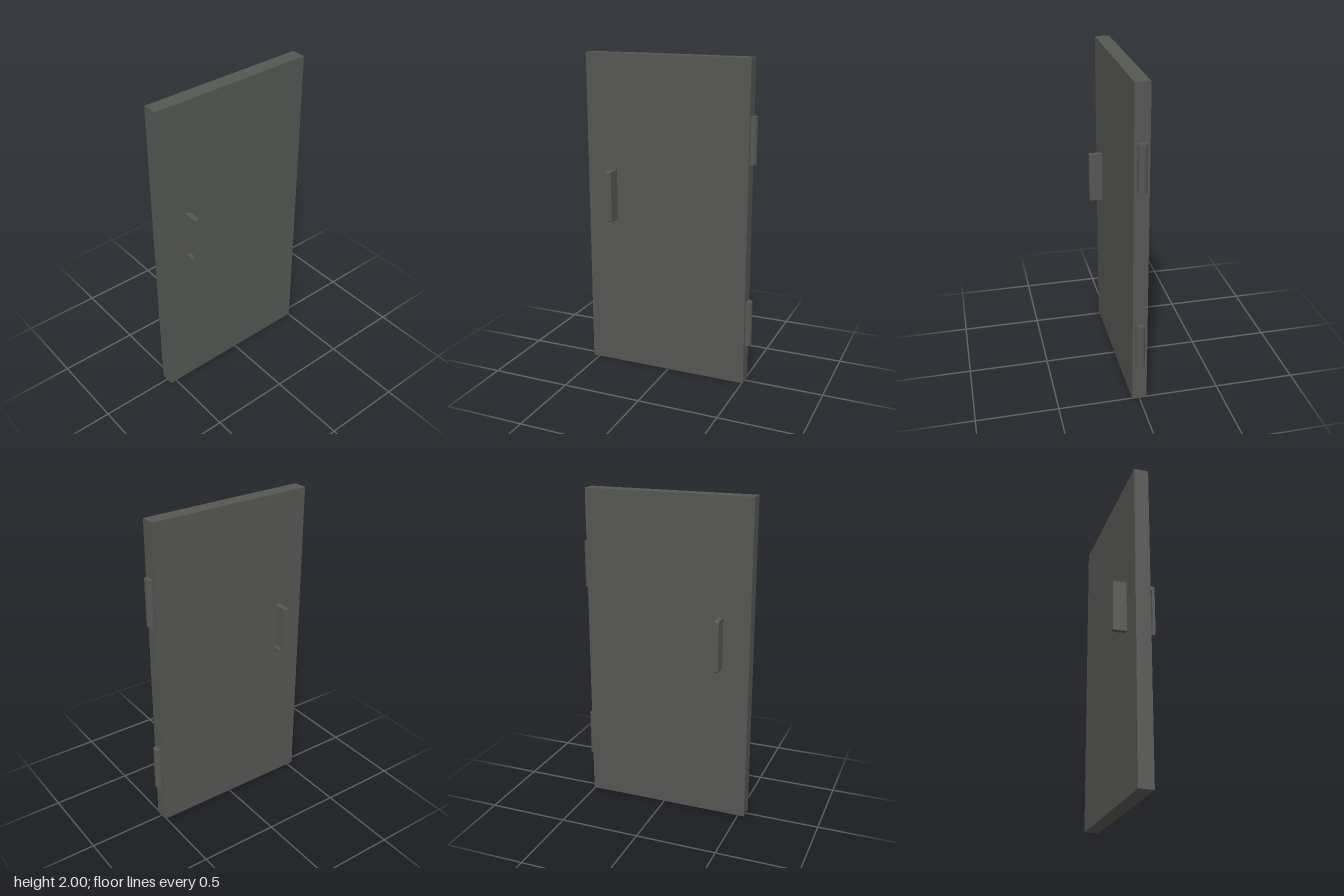
import * as THREE from 'three';

export function createModel() {
  const model = new THREE.Group();
  const grey = new THREE.MeshStandardMaterial({ color: 0x555753 });
  grey.name = 'dark grey';

  const add = (parent, name, geometry, x, y, z) => {
    const mesh = new THREE.Mesh(geometry, grey);
    mesh.name = name;
    mesh.position.set(x, y, z);
    parent.add(mesh);
    return mesh;
  };

  // Door slab
  add(model, 'doorPanel', new THREE.BoxGeometry(1.046, 2, 0.09), -0.017, 1, 0);

  // Hinge barrels half sunk into the edge
  for (const y of [0.39, 1.527]) {
    add(model, 'hinge', new THREE.CylinderGeometry(0.028, 0.028, 0.284, 32), 0.512, y, 0);
  }

  // Pull handle: C-shaped rim, drawn as (distance from door, height)
  const h = 0.16, inner = 0.134, reach = 0.085, grip = 0.068, c = 0.006;
  const rim = new THREE.Shape([
    [0, -h], [reach - c, -h], [reach, -h + c], [reach, h - c], [reach - c, h], [0, h],
    [0, inner], [grip - c, inner], [grip, inner - c],
    [grip, -inner + c], [grip - c, -inner], [0, -inner],
  ].map(([x, y]) => new THREE.Vector2(x, y)));
  const width = 0.03;
  const rimGeometry = new THREE.ExtrudeGeometry(rim, { depth: width, bevelEnabled: false });
  rimGeometry.translate(0, 0, -width / 2).rotateY(-Math.PI / 2);

  // One handle per face, the second turned half a circle about the vertical
  for (const [name, turn] of [['frontHandle', 0], ['backHandle', Math.PI]]) {
    const handle = new THREE.Group();
    handle.name = name;
    add(handle, 'handleRim', rimGeometry, 0, 0, 0);
    // Thin wall closing one side of the grip recess
    add(handle, 'handleWall', new THREE.BoxGeometry(0.006, 2 * inner + 0.01, grip + 0.005),
      width / 2 - 0.0031, 0, (grip + 0.005) / 2);
    handle.rotation.y = turn;
    handle.position.set(-0.359, 1.13, turn ? -0.045 : 0.045);
    model.add(handle);
  }

  return model;
}
